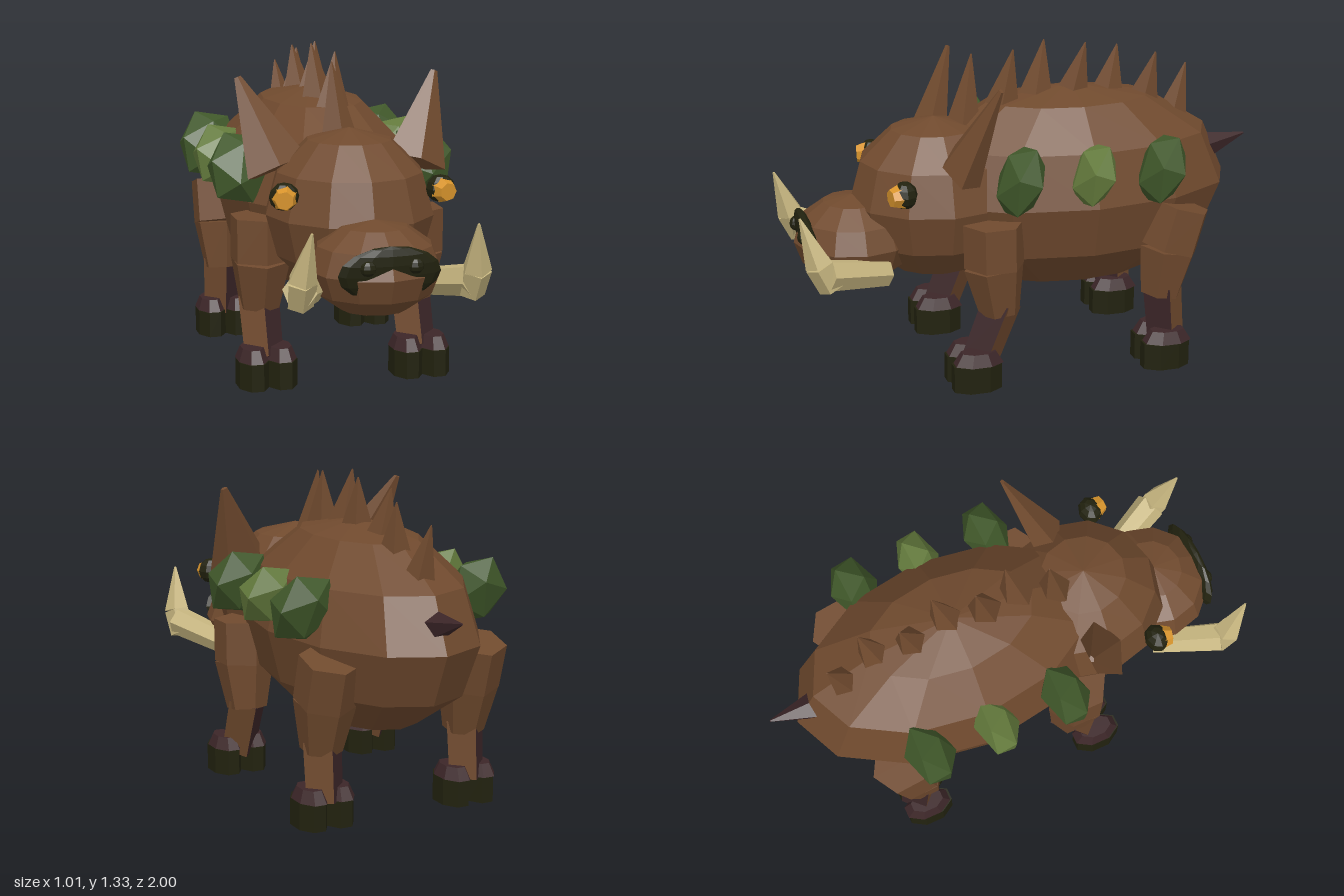
import * as THREE from 'three';

const UP = new THREE.Vector3(0, 1, 0);

export function createModel() {
  const mat = (name, color) => {
    const m = new THREE.MeshStandardMaterial({ color });
    m.name = name;
    return m;
  };
  const hide = mat('brown hide', 0x704a2e);
  const skin = mat('dark purple skin', 0x3c2628);
  const horn = mat('dark olive horn', 0x22220f);
  const ivory = mat('ivory', 0xc6b57f);
  const amber = mat('amber', 0xd8942c);
  const moss = mat('moss green', 0x40582a);
  const leaf = mat('light green', 0x637a3c);

  const root = new THREE.Group();
  root.name = 'spinyBoar';
  const boar = new THREE.Group();
  boar.name = 'boar';
  boar.position.x = -0.01;
  root.add(boar);

  // Adds a mesh with faceted normals
  const add = (name, geo, material, pos = [0, 0, 0]) => {
    const g = geo.index ? geo.toNonIndexed() : geo;
    g.computeVertexNormals();
    const m = new THREE.Mesh(g, material);
    m.name = name;
    m.position.set(...pos);
    boar.add(m);
    return m;
  };
  // Faceted ellipsoid
  const blob = (name, material, pos, r, seg = 12, rings = 6) =>
    add(name, new THREE.SphereGeometry(1, seg, rings).scale(...r), material, pos);
  // Tapered prism from point a to point b
  const strut = (name, material, a, b, ra, rb, sides, flat = 1, geoEdit) => {
    const A = new THREE.Vector3(...a), B = new THREE.Vector3(...b);
    const d = B.clone().sub(A);
    const geo = new THREE.CylinderGeometry(rb, ra, d.length(), sides).scale(1, 1, flat);
    if (geoEdit) geoEdit(geo);
    const m = add(name, geo, material, A.add(B).multiplyScalar(0.5).toArray());
    m.quaternion.setFromUnitVectors(UP, d.normalize());
    return m;
  };

  // Body, head and snout
  blob('body', hide, [0, 0.72, -0.2], [0.41, 0.43, 0.7]);
  blob('head', hide, [0, 0.715, 0.38], [0.34, 0.335, 0.355]);
  blob('snout', hide, [0, 0.565, 0.72], [0.26, 0.185, 0.25]);

  // Nose pad, leaving the snout tip showing at its lower middle
  blob('nose', horn, [0, 0.585, 0.915], [0.2, 0.11, 0.035], 12, 8).rotation.x = 0.2;

  // Back spines, leaning backwards
  const spines = [[0.25, 1.0, 0.21, 1.29], [0.09, 1.08, 0.05, 1.31], [-0.06, 1.1, -0.1, 1.33],
    [-0.21, 1.1, -0.26, 1.32], [-0.37, 1.08, -0.42, 1.29], [-0.52, 1.04, -0.57, 1.26], [-0.66, 0.95, -0.73, 1.19]];
  spines.forEach(([z0, y0, z1, y1], i) => {
    const x = i % 2 ? 0.01 : -0.01;
    strut('backSpine', hide, [x, y0, z0], [i % 2 ? 0.035 : -0.025, y1, z1], 0.075, 0.003, 5);
  });

  // Tail
  strut('tail', skin, [0, 0.82, -0.8], [0, 0.865, -1], 0.065, 0.004, 5);

  // Shin facets alternate between skin and hide
  const shinFacets = (g) => {
    g.clearGroups();
    for (let i = 0; i < 4; i++) g.addGroup(i * 6, 6, i % 2);
    g.addGroup(24, 24, 0);
  };

  for (const s of [1, -1]) {
    // Eyes
    blob('eyeSocket', horn, [s * 0.315, 0.825, 0.575], [0.06, 0.055, 0.05], 8, 6);
    strut('eye', amber, [s * 0.318, 0.822, 0.59], [s * 0.328, 0.82, 0.635], 0.052, 0.036, 7);

    // Nostrils
    blob('nostril', horn, [s * 0.092, 0.615, 0.945], [0.032, 0.03, 0.025], 8, 6);

    // Ears
    strut('ear', hide, [s * 0.285, 0.89, 0.34], [s * 0.41, 1.24, 0.21], 0.135, 0.015, 5, 0.6);

    // Tusks: thick root, then an upturned point
    strut('tuskRoot', ivory, [s * 0.22, 0.475, 0.64], [s * 0.34, 0.535, 0.9], 0.055, 0.066, 6);
    strut('tuskElbow', ivory, [s * 0.335, 0.48, 0.88], [s * 0.338, 0.58, 0.925], 0.052, 0.058, 5);
    strut('tuskPoint', ivory, [s * 0.338, 0.58, 0.925], [s * 0.318, 0.77, 0.992], 0.058, 0.005, 5);

    // Mossy flank stones
    [[0.125, moss], [-0.18, leaf], [-0.47, moss]].forEach(([z, m], i) => {
      const k = i === 1 ? 0.9 : 1;
      const stone = add('flankStone', new THREE.IcosahedronGeometry(1, 0).scale(0.14, 0.16 * k, 0.095 * k),
        m, [s * 0.39, 0.862, z]);
      stone.rotation.set(-0.36, 0, s * 0.18);
    });

    // Legs: [top z, knee z, ankle z, hoof z]
    const legs = [['front', 0.22, 0.195, 0.28, 0.31], ['rear', -0.585, -0.5, -0.53, -0.505]];
    for (const [end, zt, zk, za, zh] of legs) {
      const x = s * 0.325;
      strut(end + 'Thigh', hide, [x, 0.5, (zt + zk) / 2 + 0.01], [x, 0.68, zt], 0.125, 0.125, 6);
      strut(end + 'Knee', hide, [x, 0.3, zk], [x, 0.5, (zt + zk) / 2 + 0.01], 0.085, 0.125, 6);
      strut(end + 'Shin', [skin, hide], [x, 0.1, za], [x, 0.34, zk - 0.01], 0.08, 0.085, 4, 1, shinFacets);

      // Two-toed hooves with a sloped upper rim
      for (const t of [-1, 1]) {
        const tx = x + t * 0.058;
        const toe = (name, m, r0, r1, y0, y1, z) => add(name,
          new THREE.CylinderGeometry(r1, r0, y1 - y0, 8).rotateY(Math.PI / 8).scale(1, 1, 1.62),
          m, [tx, (y0 + y1) / 2, z]);
        toe(end + 'Hoof', horn, 0.066, 0.066, 0, 0.11, zh);
        toe(end + 'HoofRim', skin, 0.066, 0.046, 0.11, 0.16, zh - 0.008);
      }
    }
  }
  return root;
}
